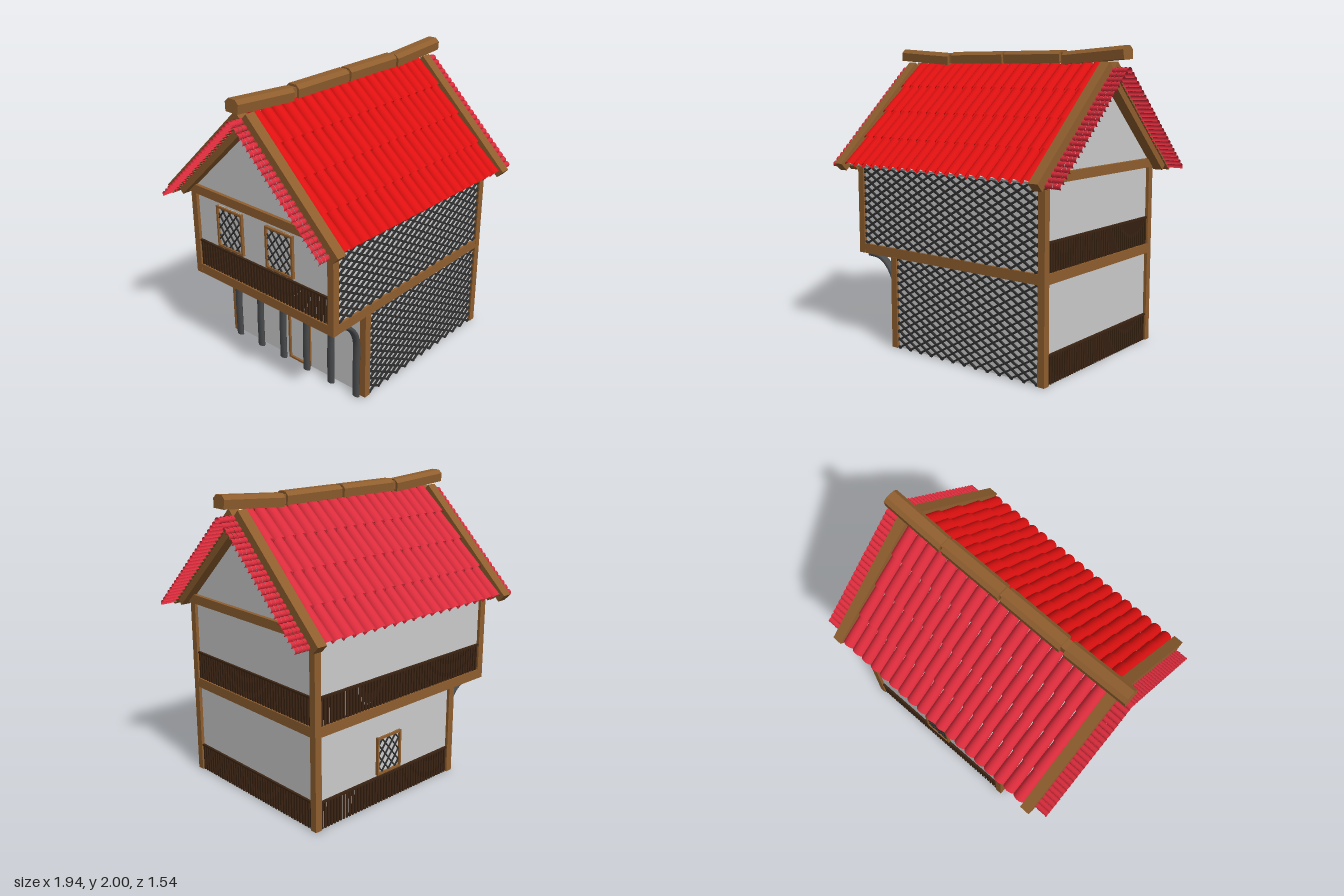
import * as THREE from 'three';
import { mergeGeometries } from 'three/addons/utils/BufferGeometryUtils.js';

const mat = (color, side = THREE.FrontSide) => new THREE.MeshStandardMaterial({ color, side });
const plaster = mat(0xcccccc);
const wood = mat(0x8f5e2e);
const slatWood = mat(0x3b2413);
const iron = mat(0x303030);
const bracketGrey = mat(0x4a4c4e);
const redFront = mat(0xe01010, THREE.DoubleSide);
const redBack = mat(0xdc2c3c, THREE.DoubleSide);

const SLOPE = THREE.MathUtils.degToRad(43.4);

function add(parent, name, geometry, material) {
  const mesh = new THREE.Mesh(geometry, material);
  mesh.name = name;
  parent.add(mesh);
  return mesh;
}

// Box given by its extents on each axis
function boxGeo(x0, x1, y0, y1, z0, z1) {
  return new THREE.BoxGeometry(x1 - x0, y1 - y0, z1 - z0)
    .translate((x0 + x1) / 2, (y0 + y1) / 2, (z0 + z1) / 2);
}
const box = (parent, name, material, ...e) => add(parent, name, boxGeo(...e), material);

// Crossed diagonal bars clipped to a w x h rectangle centred on the origin
function latticeGeo(w, h, dx, dy, bar) {
  const parts = [];
  const m = dy / dx;
  for (const s of [1, -1]) {
    const n = Math.ceil((w / 2 + h / 2 / m) / dx);
    for (let i = -n; i <= n; i++) {
      const c = (i + 0.5) * dx;
      const xa = Math.max(-w / 2, c - h / 2 / m);
      const xb = Math.min(w / 2, c + h / 2 / m);
      if (xb - xa < 0.01) continue;
      parts.push(new THREE.BoxGeometry((xb - xa) * Math.hypot(1, m), bar, 0.012)
        .rotateZ(s * Math.atan(m))
        .translate((xa + xb) / 2, s * m * ((xa + xb) / 2 - c), 0));
    }
  }
  return mergeGeometries(parts);
}

// Row of upright slats with a top rail, standing on y = 0
function slatsGeo(w, h) {
  const n = Math.round(w / 0.026);
  const parts = [boxGeo(-w / 2, w / 2, h - 0.012, h, -0.01, 0.014)];
  for (let i = 0; i < n; i++) {
    const x = -w / 2 + (i + 0.5) * w / n;
    parts.push(boxGeo(x - 0.007, x + 0.007, 0, h, -0.008, 0.01));
  }
  return mergeGeometries(parts);
}

// Overlapping half-round tiles: columns across x, courses running down +z from 0
function tilesGeo(cols, rows, w, len) {
  const pitch = w / cols, step = len / rows, parts = [];
  for (let r = 0; r < rows; r++) {
    for (let c = 0; c < cols; c++) {
      parts.push(new THREE.CylinderGeometry(pitch * 0.55, pitch * 0.46, step * 1.08, 8, 1, true, Math.PI / 2, Math.PI)
        .rotateX(Math.PI / 2 - 0.04)
        .translate(-w / 2 + (c + 0.5) * pitch, 0, (r + 0.46) * step));
    }
  }
  return mergeGeometries(parts);
}

// Framed opening, facing +z, standing on y = 0
function opening(parent, name, w, h, latticed) {
  const g = new THREE.Group();
  g.name = name;
  const f = 0.014;
  for (const s of [-1, 1]) {
    box(g, 'frameSide', wood, s * w / 2 - f / 2, s * w / 2 + f / 2, 0, h, 0, 0.02);
    const y = s < 0 ? 0 : h - f;
    box(g, 'frameRail', wood, -w / 2, w / 2, y, y + f, 0, 0.02);
  }
  box(g, 'pane', plaster, -w / 2, w / 2, 0, h, 0, 0.005);
  if (latticed) add(g, 'windowLattice', latticeGeo(w - f, h - f, 0.06, 0.075, 0.007), iron).position.set(0, h / 2, 0.008);
  parent.add(g);
  return g;
}

function buildWalls(house) {
  // Plaster bodies: lower storey, and upper storey with gables
  box(house, 'lowerWalls', plaster, -0.465, 0.755, 0.002, 0.64, -0.6, 0.6);
  const s = new THREE.Shape([[-0.6, 0.64], [0.6, 0.64], [0.6, 1.25], [0, 1.82], [-0.6, 1.25]]
    .map(p => new THREE.Vector2(...p)));
  const upper = new THREE.ExtrudeGeometry(s, { depth: 1.52, bevelEnabled: false })
    .rotateY(Math.PI / 2).translate(-0.765, 0, 0);
  add(house, 'upperWalls', upper, plaster);

  // Timber frame
  for (const z of [-1, 1]) {
    const z0 = z > 0 ? 0.573 : -0.62, z1 = z0 + 0.047;
    box(house, 'rightPost', wood, 0.728, 0.777, 0, 1.21, z0, z1);
    box(house, 'upperLeftPost', wood, -0.787, -0.738, 0.615, 1.21, z0, z1);
    box(house, 'lowerLeftPost', wood, -0.487, -0.438, 0, 0.62, z0, z1);
    box(house, 'longBelt', wood, -0.785, 0.775, 0.615, 0.68, z0, z1 - 0.002);
  }
  for (const x of [-0.785, 0.728]) {
    box(house, 'sideBelt', wood, x, x + 0.047, 0.615, 0.68, -0.58, 0.58);
    box(house, 'gableBeam', wood, x - 0.003, x + 0.053, 1.205, 1.265, -0.635, 0.635);
  }

  // Front lattice panels
  add(house, 'upperLattice', latticeGeo(1.465, 0.56, 0.095, 0.055, 0.012), iron).position.set(-0.005, 0.96, 0.607);
  add(house, 'lowerLattice', latticeGeo(1.165, 0.615, 0.095, 0.055, 0.012), iron).position.set(0.145, 0.308, 0.607);

  // Slatted dados: [width, x, y, z, turn]
  for (const [w, x, y, z, turn] of [
    [1.15, 0.757, 0, 0, 0.5], [1.15, 0.757, 0.68, 0, 0.5],
    [1.165, 0.145, 0, -0.602, 1], [1.465, -0.005, 0.68, -0.602, 1],
    [1.15, -0.767, 0.68, 0, -0.5],
  ]) {
    const m = add(house, 'slats', slatsGeo(w, 0.188), slatWood);
    m.position.set(x, y, z);
    m.rotation.y = turn * Math.PI;
  }

  // Windows and door
  const back = opening(house, 'backWindow', 0.2, 0.26, true);
  back.position.set(0.14, 0.2, -0.6);
  back.rotation.y = Math.PI;
  for (const z of [-0.27, 0.17]) {
    const win = opening(house, 'sideWindow', 0.22, 0.29, true);
    win.position.set(-0.765, 0.885, z);
    win.rotation.y = -Math.PI / 2;
  }
  const door = opening(house, 'door', 0.18, 0.36, false);
  door.position.set(-0.465, 0.005, 0.03);
  door.rotation.y = -Math.PI / 2;

  // Curved brackets carrying the overhang
  const path = new THREE.CatmullRomCurve3([[-0.505, 0], [-0.505, 0.2], [-0.505, 0.42], [-0.535, 0.5], [-0.6, 0.572], [-0.66, 0.597], [-0.74, 0.602]]
    .map(([x, y]) => new THREE.Vector3(x, y, 0)));
  const tube = new THREE.TubeGeometry(path, 24, 0.018, 8);
  for (let i = 0; i < 6; i++) {
    const b = add(house, 'bracket', tube, bracketGrey);
    b.scale.z = 1.6;
    b.position.z = -0.54 + i * 0.22;
  }
}

function buildRoof(house) {
  const roof = new THREE.Group();
  roof.name = 'roof';
  roof.rotation.y = -0.017;
  house.add(roof);

  // Each slope is laid flat, running down +z, then tilted and turned
  for (const front of [true, false]) {
    const turn = new THREE.Group();
    turn.name = front ? 'frontSlope' : 'backSlope';
    turn.rotation.y = front ? 0 : Math.PI;
    roof.add(turn);
    const slope = new THREE.Group();
    slope.position.y = 1.885;
    slope.rotation.x = SLOPE;
    turn.add(slope);

    box(slope, 'roofBoard', plaster, -0.8, 0.8, -0.025, -0.005, 0, 0.95);
    const tiles = add(slope, 'mainTiles', tilesGeo(19, 4, 1.58, 0.97), front ? redFront : redBack);
    tiles.position.set(front ? -0.01 : 0.01, -0.005, 0.01);

    for (const s of [-1, 1]) {
      const x = s * 0.824 - (front ? 0.011 : -0.011);
      box(slope, 'bargeBeam', wood, x - 0.034, x + 0.034, -0.02, 0.045, 0.02, 1.0);
      box(slope, 'gableRafter', wood, s * 0.8 - 0.035, s * 0.8 + 0.035, -0.064, -0.018, 0.02, 0.95);
      const verge = add(slope, 'vergeTiles', tilesGeo(24, 4, 0.96, 0.115), redBack);
      verge.position.set(s * 0.845, -0.024, 0.49);
      verge.rotation.y = s * Math.PI / 2;
    }
  }

  // Ridge beams, chamfered on top, the outer pair tipped up
  const profile = new THREE.Shape([[-0.05, -0.045], [0.05, -0.045], [0.056, 0.012], [0.03, 0.036], [-0.03, 0.036], [-0.056, 0.012]]
    .map(p => new THREE.Vector2(...p)));
  const beam = new THREE.ExtrudeGeometry(profile, { depth: 0.45, bevelEnabled: false })
    .translate(0, 0, -0.225).rotateY(Math.PI / 2);
  [-0.705, -0.22, 0.25, 0.72].forEach((x, i) => {
    const outer = i === 0 ? -1 : i === 3 ? 1 : 0;
    const m = add(roof, 'ridgeBeam', beam, wood);
    m.position.set(x, outer ? 1.947 : 1.94, 0);
    m.rotation.z = outer * 0.07;
  });
  box(roof, 'ridgeCore', wood, -0.75, 0.75, 1.9, 1.96, -0.035, 0.035);
}

export function createModel() {
  const house = new THREE.Group();
  house.name = 'house';
  buildWalls(house);
  buildRoof(house);
  return house;
}
